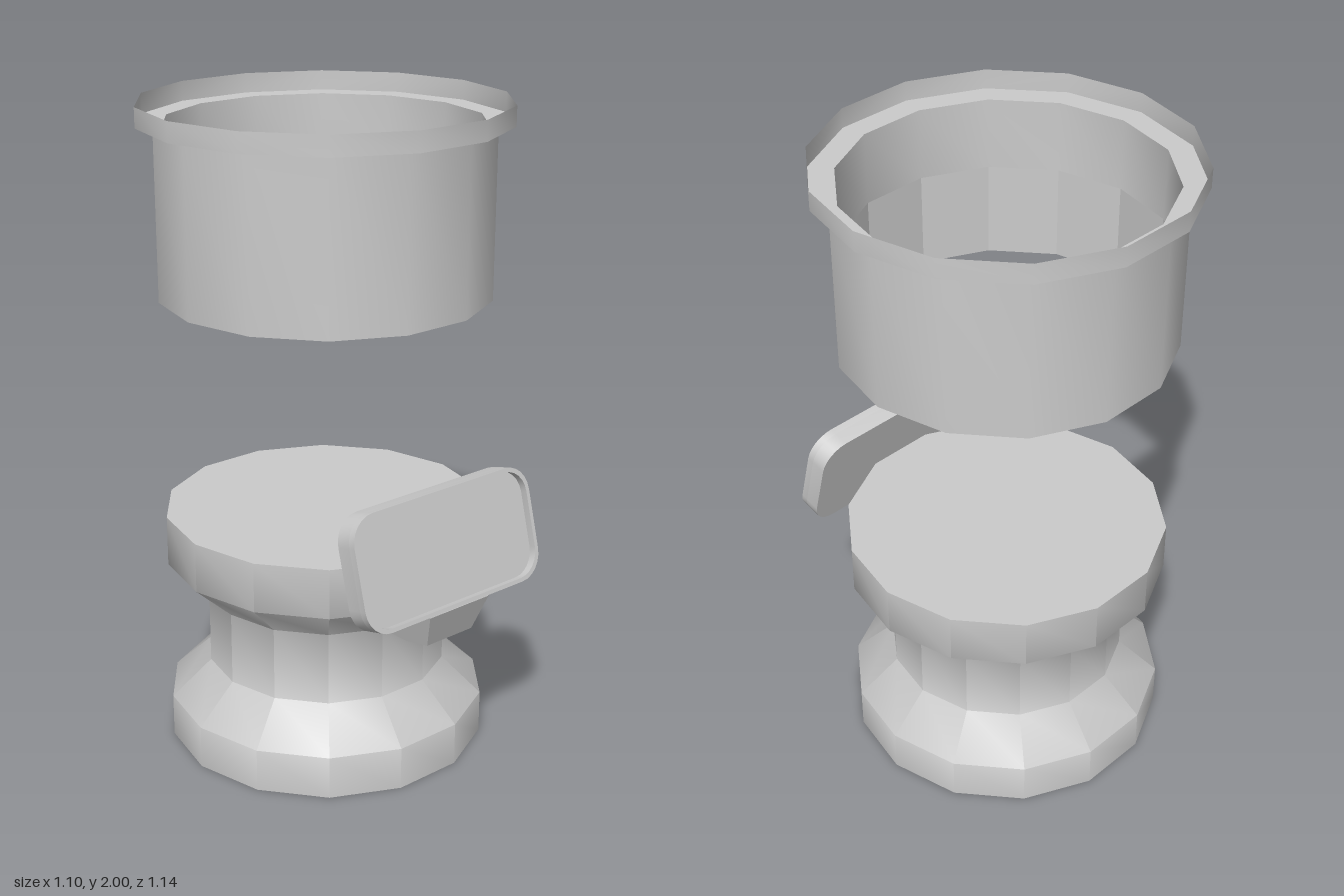
import * as THREE from 'three';
import { toCreasedNormals } from 'three/addons/utils/BufferGeometryUtils.js';

const SIDES = 14;
const CENTER_Z = -0.036;

export function createModel() {
  const model = new THREE.Group();
  model.name = 'spoolWithCollar';
  const grey = new THREE.MeshStandardMaterial({ color: 0xcccccc });
  const thin = new THREE.MeshStandardMaterial({ color: 0xcccccc, side: THREE.DoubleSide });
  const faceted = new THREE.MeshStandardMaterial({ color: 0xcccccc, flatShading: true });

  function add(name, geometry, material, parent = model) {
    const mesh = new THREE.Mesh(geometry, material);
    mesh.name = name;
    parent.add(mesh);
    return mesh;
  }

  // 14-sided turned part from [radius, height] pairs
  function turned(name, profile, material) {
    const points = profile.map(([r, y]) => new THREE.Vector2(r, y));
    const lathe = new THREE.LatheGeometry(points, SIDES, Math.PI / 2);
    const mesh = add(name, toCreasedNormals(lathe, 0.9), material);
    mesh.position.z = CENTER_Z;
  }

  // Waisted solid base
  turned('base', [
    [0, 0], [0.5, 0], [0.5, 0.135], [0.375, 0.25],
    [0.375, 0.48], [0.5, 0.595], [0.5, 0.75], [0, 0.75],
  ], grey);

  // Floating collar: open tube, flat-sided lower lining and thin upright lip
  turned('collar', [[0.475, 1.43], [0.5, 1.43], [0.5, 1.94], [0.475, 1.94], [0.475, 1.72]], grey);
  turned('collarLining', [[0.475, 1.72], [0.475, 1.43]], faceted);
  turned('collarLip', [[0.5, 1.94], [0.55, 1.94], [0.55, 2]], thin);

  // Leaning plate with a shallow recessed front
  const plate = new THREE.Group();
  plate.name = 'plate';
  plate.position.set(0, 0.6, 0.5);
  plate.rotation.x = -THREE.MathUtils.degToRad(15);
  model.add(plate);

  function roundedRect(inset, target) {
    const w = 0.343 - inset, bottom = inset, top = 0.347 - inset, r = 0.083 - inset * 0.5;
    target.moveTo(-w + r, bottom);
    target.lineTo(w - r, bottom);
    target.absarc(w - r, bottom + r, r, -Math.PI / 2, 0);
    target.absarc(w - r, top - r, r, 0, Math.PI / 2);
    target.absarc(-w + r, top - r, r, Math.PI / 2, Math.PI);
    target.absarc(-w + r, bottom + r, r, Math.PI, Math.PI * 1.5);
    return target;
  }
  function slab(name, shape, z, depth) {
    const geometry = new THREE.ExtrudeGeometry(shape, { depth, bevelEnabled: false, curveSegments: 3 });
    add(name, toCreasedNormals(geometry, 0.7), grey, plate).position.z = z;
  }
  slab('plateBack', roundedRect(0, new THREE.Shape()), 0, 0.049);
  const rim = roundedRect(0, new THREE.Shape());
  rim.holes.push(roundedRect(0.012, new THREE.Path()));
  slab('plateRim', rim, 0.049, 0.023);

  // Bracket joining plate and waist: side profile as (z, y), narrowing downwards
  const side = new THREE.Shape([
    [0.3, 0.48], [0.43, 0.48], [0.53, 0.505], [0.57, 0.617], [0.5, 0.6], [0.44, 0.6],
  ].map(([z, y]) => new THREE.Vector2(z, y)));
  const bracket = new THREE.ExtrudeGeometry(side, { depth: 2, bevelEnabled: false });
  bracket.translate(0, 0, -1);
  bracket.rotateY(-Math.PI / 2);
  const p = bracket.attributes.position;
  for (let i = 0; i < p.count; i++) {
    p.setX(i, p.getX(i) * (0.115 - (0.61 - p.getY(i)) * 0.25));
  }
  bracket.computeVertexNormals();
  add('bracket', bracket, faceted);

  return model;
}
